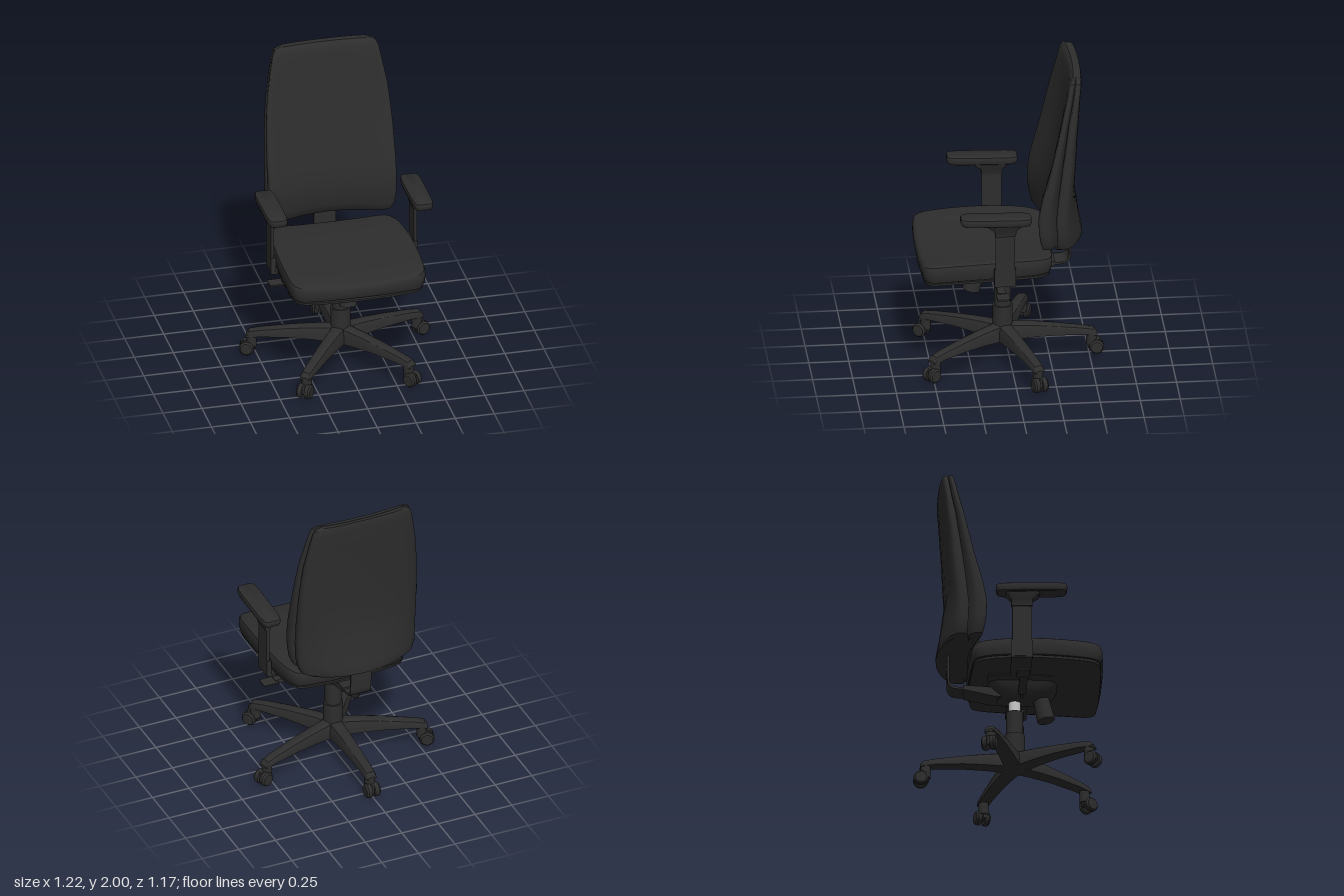
import * as THREE from 'three';
import { toCreasedNormals } from 'three/addons/utils/BufferGeometryUtils.js';

const dark = new THREE.MeshStandardMaterial({ color: 0x2d2d2d, side: THREE.DoubleSide });
const metal = new THREE.MeshStandardMaterial({ color: 0xcccccc });

function part(parent, name, geometry, x = 0, y = 0, z = 0, material = dark) {
  const mesh = new THREE.Mesh(geometry, material);
  mesh.name = name;
  mesh.position.set(x, y, z);
  parent.add(mesh);
  return mesh;
}

// Skin a list of equal-length rings of [x, y, z]; winding is fixed by the enclosed volume.
function loft(rings, caps = true, crease = 0.6) {
  const n = rings[0].length, pos = rings.flat(), idx = [];
  for (let r = 0; r < rings.length - 1; r++)
    for (let i = 0; i < n; i++) {
      const a = r * n + i, b = r * n + (i + 1) % n;
      idx.push(a, b, b + n, a, b + n, a + n);
    }
  if (caps) [0, rings.length - 1].forEach((r, end) => {
    const c = pos.length;
    pos.push([0, 1, 2].map(k => rings[r].reduce((s, p) => s + p[k], 0) / n));
    for (let i = 0; i < n; i++) {
      const a = r * n + i, b = r * n + (i + 1) % n;
      end ? idx.push(a, b, c) : idx.push(b, a, c);
    }
  });
  let volume = 0;
  const [p, q, s] = [0, 1, 2].map(() => new THREE.Vector3());
  for (let i = 0; i < idx.length; i += 3) {
    p.fromArray(pos[idx[i]]); q.fromArray(pos[idx[i + 1]]); s.fromArray(pos[idx[i + 2]]);
    volume += p.dot(q.cross(s));
  }
  if (volume < 0) idx.reverse();
  const g = new THREE.BufferGeometry();
  g.setAttribute('position', new THREE.Float32BufferAttribute(pos.flat(), 3));
  g.setIndex(idx);
  return toCreasedNormals(g, crease);
}

const spow = (v, e) => Math.sign(v) * Math.pow(Math.abs(v), e);
const around = (n, fn) => Array.from({ length: n }, (_, i) => fn(Math.cos(i / n * 2 * Math.PI), Math.sin(i / n * 2 * Math.PI)));
// Horizontal rounded rectangle
const slab = (cx, y, cz, hx, hz, e = 0.4, n = 48) =>
  around(n, (c, s) => [cx + hx * spow(c, e), y, cz + hz * spow(s, e)]);
// Upright rectangle across x at depth z
const gate = (z, hx, y0, y1) => [[-hx, y0, z], [hx, y0, z], [hx, y1, z], [-hx, y1, z]];

function buildBase(root) {
  const base = new THREE.Group();
  base.name = 'base';
  base.position.z = 0.04;
  root.add(base);
  // r, half width, bottom, top
  const legRows = [[0, 0.052, 0.125, 0.235], [0.06, 0.052, 0.125, 0.23], [0.18, 0.047, 0.135, 0.222], [0.32, 0.043, 0.14, 0.207],
    [0.5, 0.038, 0.135, 0.182], [0.57, 0.035, 0.125, 0.168], [0.59, 0.031, 0.125, 0.14]];
  const section = [[-1, 0], [-0.97, 0.55], [-0.75, 0.88], [-0.35, 1], [0.35, 1], [0.75, 0.88], [0.97, 0.55], [1, 0]];
  for (let i = 0; i < 5; i++) {
    const arm = new THREE.Group();
    arm.name = 'baseArm';
    arm.rotation.y = i * Math.PI * 2 / 5;
    base.add(arm);
    part(arm, 'leg', loft(legRows.map(([r, w, b, t]) => section.map(([u, v]) => [u * w, b + v * (t - b), -r]))));
    part(arm, 'casterStem', new THREE.CylinderGeometry(0.032, 0.032, 0.08, 20), 0, 0.095, -0.555);
    part(arm, 'casterHood', new THREE.BoxGeometry(0.02, 0.06, 0.075), 0, 0.06, -0.57);
    for (const s of [-1, 1]) {
      const profile = [[0, -0.018], [0.043, -0.018], [0.046, -0.012], [0.046, 0.008], [0.036, 0.019], [0, 0.021]];
      const wheel = part(arm, 'casterWheel',
        toCreasedNormals(new THREE.LatheGeometry(profile.map(([x, y]) => new THREE.Vector2(x, y)), 24), 0.6), s * 0.027, 0.046, -0.585);
      wheel.rotation.z = -s * Math.PI / 2;
    }
  }
  part(base, 'columnSleeve', new THREE.CylinderGeometry(0.063, 0.063, 0.23, 32), 0, 0.24, 0);
  part(base, 'columnTube', new THREE.CylinderGeometry(0.053, 0.053, 0.16, 32), 0, 0.43, 0);
  part(base, 'gasPiston', new THREE.CylinderGeometry(0.037, 0.037, 0.1, 32), 0, 0.55, 0, metal);
}

function buildMechanism(root) {
  part(root, 'tiltHousing', loft([slab(0, 0.578, 0.045, 0.05, 0.06, 0.7), slab(0, 0.59, 0.06, 0.075, 0.13, 0.6),
    slab(0, 0.615, 0.09, 0.095, 0.17, 0.5), slab(0, 0.65, 0.09, 0.12, 0.2), slab(0, 0.69, 0.085, 0.135, 0.222)]));
  part(root, 'mountingPlate', new THREE.BoxGeometry(0.4, 0.02, 0.44), 0, 0.69, 0.085);
  const knob = part(root, 'tensionKnob', new THREE.CylinderGeometry(0.05, 0.056, 0.16, 24), 0, 0.542, 0.218);
  knob.rotation.x = -0.22;
  for (const s of [-1, 1]) {
    const rod = part(root, 'leverRod', new THREE.CylinderGeometry(0.009, 0.009, 0.12, 12), s * 0.11, 0.592, 0.08);
    rod.rotation.z = Math.PI / 2;
    part(root, 'leverGrip', new THREE.BoxGeometry(0.25, 0.024, 0.05), s * 0.26, 0.59, 0.08);
    part(root, 'leverPaddle', new THREE.BoxGeometry(0.1, 0.01, 0.08), s * 0.42, 0.592, 0.075);
  }
  // Link and bent flat bar carrying the backrest
  part(root, 'backLink', loft([gate(0.02, 0.06, 0.59, 0.65), gate(-0.1, 0.075, 0.595, 0.655), gate(-0.28, 0.075, 0.635, 0.665)]));
  const path = new THREE.CatmullRomCurve3([[0.95, -0.375], [0.74, -0.376], [0.685, -0.372], [0.655, -0.35], [0.645, -0.26]]
    .map(([y, z]) => new THREE.Vector3(0, y, z)));
  part(root, 'backBar', loft(path.getPoints(24).map((p, i) => {
    const t = path.getTangent(i / 24), dy = -t.z * 0.007, dz = t.y * 0.007;
    return [[-0.07, p.y + dy, p.z + dz], [0.07, p.y + dy, p.z + dz], [0.07, p.y - dy, p.z - dz], [-0.07, p.y - dy, p.z - dz]];
  })));
}

function buildSeat(root) {
  const half = [[0.25, 0.578], [0.395, 0.56], [0.425, 0.52], [0.438, 0.38], [0.44, 0.2], [0.428, 0], [0.4, -0.16], [0.36, -0.225], [0.2, -0.25]];
  const pts = [[0, 0.583], ...half, [0, -0.258], ...half.map(([x, z]) => [-x, z]).reverse()];
  const outline = new THREE.CatmullRomCurve3(pts.map(([x, z]) => new THREE.Vector3(x, 0, z)), true).getSpacedPoints(96).slice(0, -1);
  // Each layer: outline scale, height, sideways dish
  const layers = rows => loft(rows.map(([s, y, dish]) => outline.map(p => {
    const x = p.x * s, z = 0.16 + (p.z - 0.16) * s;
    return [x, y + dish * (x / 0.43) ** 2 - 0.08 * z * z, z];
  })));
  part(root, 'seatCushion', layers([[0.4, 0.715, 0.005], [0.9, 0.715, 0.005], [0.975, 0.72, 0.005], [0.99, 0.735, 0.01], [1, 0.76, 0.02], [0.998, 0.785, 0.027],
    [0.985, 0.8, 0.03], [0.96, 0.808, 0.03], [0.92, 0.811, 0.03], [0.7, 0.812, 0.03], [0.4, 0.812, 0.03], [0.1, 0.812, 0.03]]));
  part(root, 'seatShell', layers([[0.2, 0.685, 0.01], [0.6, 0.685, 0.01], [0.9, 0.685, 0.01], [0.965, 0.693, 0.01], [0.97, 0.708, 0.01], [0.9, 0.72, 0.005]]));
}

function buildBackrest(root) {
  // y, half width, front edge z, hollow, seam z, back z, back roundness
  const rows = [[0.87, 0.35, -0.175, 0.08, -0.24, -0.453, 0.09], [0.885, 0.38, -0.15, 0.09, -0.25, -0.453, 0.09],
    [0.93, 0.4, -0.135, 0.09, -0.25, -0.445, 0.09], [1.0, 0.408, -0.122, 0.09, -0.247, -0.432, 0.08], [1.1, 0.41, -0.118, 0.09, -0.245, -0.418, 0.07],
    [1.23, 0.41, -0.145, 0.085, -0.26, -0.4, 0.04], [1.44, 0.405, -0.21, 0.07, -0.29, -0.41, 0.03], [1.6, 0.395, -0.249, 0.058, -0.318, -0.418, 0.03],
    [1.71, 0.384, -0.276, 0.05, -0.335, -0.425, 0.025], [1.85, 0.36, -0.312, 0.038, -0.365, -0.433, 0.02],
    [1.95, 0.34, -0.335, 0.03, -0.382, -0.44, 0.015], [1.985, 0.325, -0.35, 0.025, -0.39, -0.44, 0.015], [2.0, 0.28, -0.372, 0.02, -0.395, -0.436, 0.01]];
  // A ring between a front and a back curve; thick 0 closes the ends
  const ring = (y, w, f, fd, b, bd, thick = 1) => around(72, (c, s) => {
    const u = spow(c, 0.5), t = 0.5 + 0.5 * thick * spow(s, 0.5);
    return [w * u, y, THREE.MathUtils.lerp(b + bd * u * u, f + fd * u * u, t)];
  });
  const closed = fn => loft([fn(rows[0], 0), ...rows.map(r => fn(r, 1)), fn(rows.at(-1), 0)], false);
  part(root, 'backCushion', closed(([y, w, zf, d, seam], t) => ring(y, w, zf - d, d, seam - d, d, t)));
  part(root, 'backShell', closed(([y, w, , d, seam, zb, bd], t) => ring(y - 0.003, w * 0.985, seam - d + 0.012, d, zb, bd, t)));
}

function buildArmrest(root, s) {
  const arm = new THREE.Group();
  arm.name = s > 0 ? 'leftArmrest' : 'rightArmrest';
  root.add(arm);
  const pad = part(arm, 'armPad', loft([[-0.028, 0.8, 0.9], [-0.022, 0.92, 0.96], [-0.005, 1, 1], [0.012, 1, 1], [0.022, 0.95, 0.985], [0.026, 0.85, 0.95]]
    .map(([y, a, b]) => slab(0, y, 0, 0.064 * a, 0.222 * b, 0.35))), s * 0.466, 1.143, 0.125);
  pad.rotation.x = -0.025;
  part(arm, 'padSupport', loft([slab(s * 0.46, 1.03, 0.065, 0.018, 0.065, 0.2), slab(s * 0.46, 1.07, 0.065, 0.024, 0.068, 0.2),
    slab(s * 0.461, 1.1, 0.07, 0.045, 0.1, 0.2), slab(s * 0.461, 1.125, 0.07, 0.048, 0.11, 0.2)]));
  part(arm, 'armPost', new THREE.BoxGeometry(0.02, 0.34, 0.122), s * 0.458, 0.91, 0.066);
  part(arm, 'armBracket', new THREE.BoxGeometry(0.03, 0.11, 0.135), s * 0.453, 0.745, 0.066);
  part(arm, 'armCrossPlate', new THREE.BoxGeometry(0.3, 0.015, 0.13), s * 0.315, 0.69, 0.066);
}

export function createModel() {
  const root = new THREE.Group();
  root.name = 'officeChair';
  buildBase(root);
  buildMechanism(root);
  buildSeat(root);
  buildBackrest(root);
  for (const s of [-1, 1]) buildArmrest(root, s);
  return root;
}
